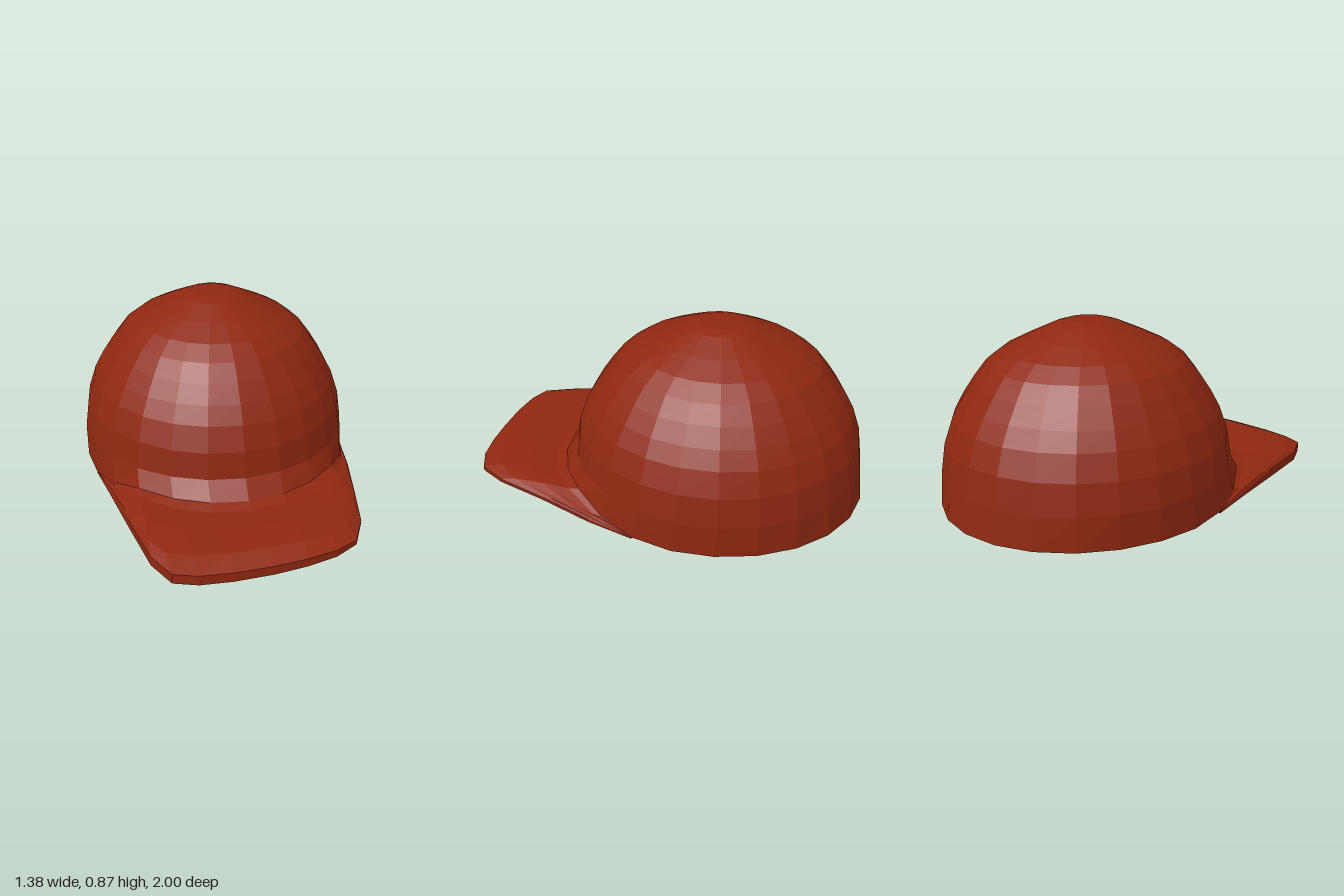
import * as THREE from 'three';

const SIDES = 24;

// Flat-shaded surface through rows of points; the normal is (along row) x (row to row).
function skin(rows) {
  const w = rows[0].length, index = [];
  for (let i = 0; i < rows.length - 1; i++) {
    for (let j = 0; j < w - 1; j++) {
      const a = i * w + j, b = a + 1, c = b + w, d = a + w;
      index.push(a, b, c, a, c, d);
    }
  }
  const geo = new THREE.BufferGeometry();
  geo.setAttribute('position', new THREE.Float32BufferAttribute(rows.flat(2), 3));
  geo.setIndex(index);
  geo.computeVertexNormals();
  return geo;
}

// The rim lies on the ground at the back and lifts above the brim at the front.
function rimHeight(deg) {
  const a = Math.abs(deg);
  if (a <= 45) return 0.093;
  if (a <= 60) return 0.045;
  return a <= 75 ? 0.012 : 0.002;
}

function rimPoint(deg, scale = 1) {
  const a = THREE.MathUtils.degToRad(deg);
  return [0.69 * scale * Math.sin(a), rimHeight(deg), -0.225 + 0.775 * scale * Math.cos(a)];
}

// Dome profile above the rim: side radius, height
const PROFILE = [
  [0.69, 0.165], [0.67, 0.31], [0.63, 0.43], [0.585, 0.515], [0.53, 0.6], [0.47, 0.68],
  [0.39, 0.742], [0.275, 0.8], [0.155, 0.855], [0.1, 0.872], [0, 0.872],
];

function domeRows(inset) {
  const degs = Array.from({ length: SIDES + 1 }, (_, j) => -180 + j * 360 / SIDES);
  const rows = [degs.map(d => rimPoint(d, 1 - inset / 0.69))];
  for (const [r, y] of PROFILE) {
    const s = Math.max(r - inset, 0);
    rows.push(degs.map(d => {
      const a = THREE.MathUtils.degToRad(d);
      const lift = r === 0.69 ? 0.015 * Math.max(Math.cos(a), 0) : 0;
      return [s * Math.sin(a), y + lift - inset * 0.7 * (y / 0.87), -0.25 + s * 1.063 * Math.cos(a)];
    }));
  }
  return rows;
}

// Brim outline: rim angle it springs from, x, z, underside height, top height
const BRIM = [
  [-75, -0.665, -0.02, 0.002, 0.012], [-60, -0.62, 0.22, 0.004, 0.025],
  [-60, -0.57, 0.5, 0.004, 0.045], [-45, -0.51, 0.81, 0.002, 0.048],
  [-45, -0.44, 0.95, 0, 0.048], [-30, -0.33, 0.988, 0, 0.048],
  [-15, -0.18, 1, 0.002, 0.048], [0, 0, 0.995, 0.004, 0.048],
  [15, 0.16, 0.98, 0.01, 0.05], [30, 0.3, 0.953, 0.018, 0.052],
  [30, 0.41, 0.9, 0.028, 0.052], [45, 0.485, 0.76, 0.034, 0.052],
  [60, 0.55, 0.5, 0.03, 0.045], [60, 0.62, 0.22, 0.01, 0.025],
  [75, 0.665, -0.02, 0.002, 0.012],
];

function brimRows() {
  // Top surface point part of the way out from rim to edge, with a soft crown
  const top = (t, bulge) => BRIM.map(([deg, x, z, , y]) => {
    const p = rimPoint(deg);
    const k = Math.max(Math.cos(THREE.MathUtils.degToRad(deg * 1.2)), 0);
    return [p[0] + (x - p[0]) * t, p[1] + (y - p[1]) * t + bulge * k, p[2] + (z - p[2]) * t];
  });
  // Underside arches up towards the rim
  const under = BRIM.map(([deg, x, z, y]) => {
    const p = rimPoint(deg, 0.96);
    return [p[0] + (x - p[0]) * 0.5, p[1] * 0.5 + y * 0.5, p[2] + (z - p[2]) * 0.5];
  });
  return [
    BRIM.map(([deg]) => { const p = rimPoint(deg, 0.96); return [p[0], p[1] - 0.002, p[2]]; }),
    under,
    BRIM.map(([, x, z, y]) => [x, y, z]),
    BRIM.map(([, x, z, , y]) => [x, y, z]),
    top(0.8, 0.024), top(0.45, 0.012), top(0.12, -0.012), top(0, 0),
  ];
}

export function createModel() {
  const red = new THREE.MeshStandardMaterial({ color: 0x8f2811 });
  red.name = 'brick red';
  red.flatShading = true;
  red.side = THREE.DoubleSide;

  const group = new THREE.Group();
  group.name = 'cap';
  const add = (name, rows) => {
    const mesh = new THREE.Mesh(skin(rows), red);
    mesh.name = name;
    group.add(mesh);
  };

  const outer = domeRows(0), inner = domeRows(0.032);
  add('crown', outer);
  add('lining', [...inner].reverse());
  add('rim', [inner[0], outer[0]]);
  add('brim', brimRows());
  return group;
}
